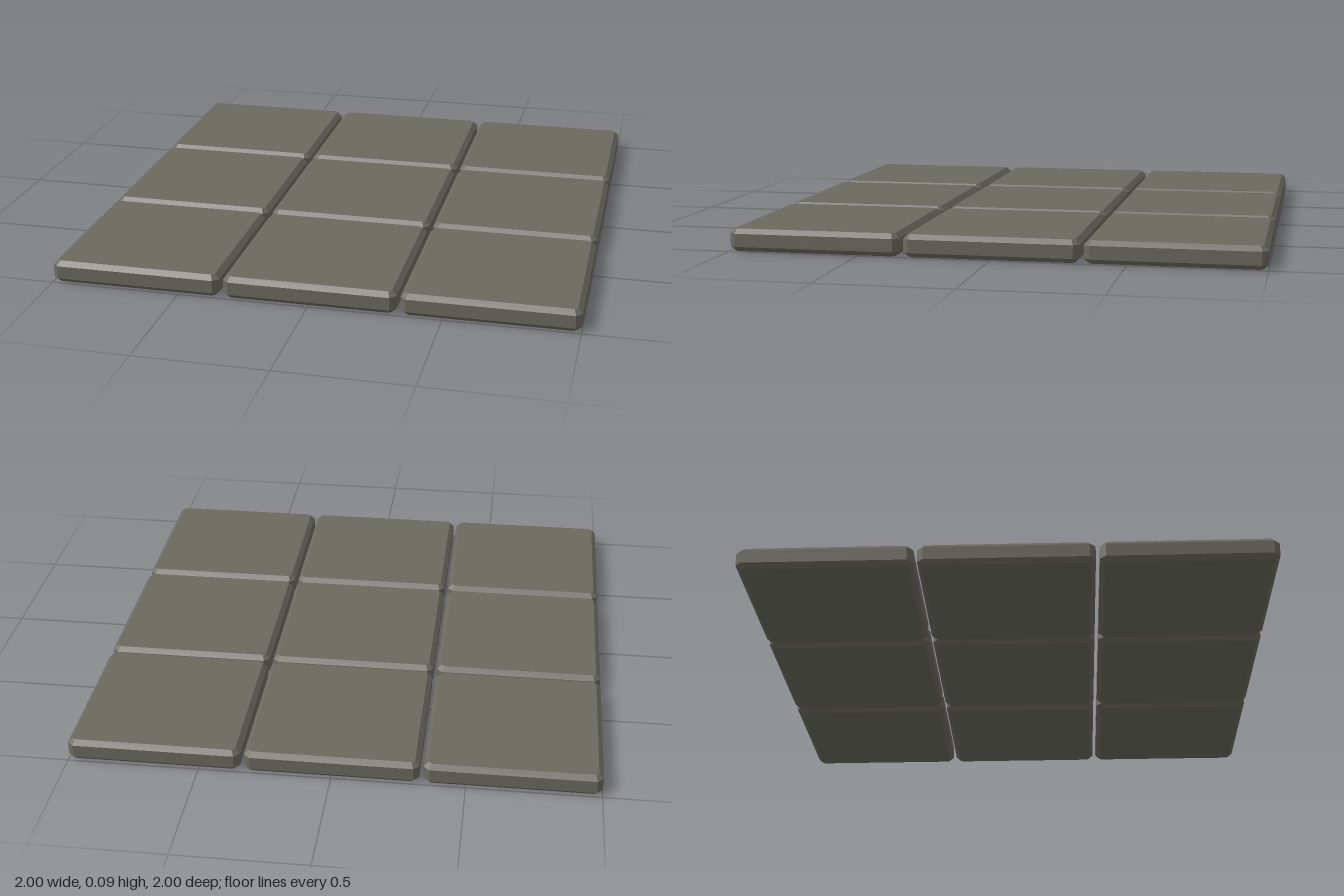
import * as THREE from 'three';

const SIZE = 0.657, PITCH = (2 - SIZE) / 2, HEIGHT = 0.086, BEVEL = 0.018, CORNER = 0.022;

// Square slab with clipped corners and a chamfer around top and bottom
function slabGeometry() {
  const h = SIZE / 2, k = h - CORNER;
  const outline = new THREE.Shape([
    [k, -h], [h, -k], [h, k], [k, h], [-k, h], [-h, k], [-h, -k], [-k, -h],
  ].map(([x, y]) => new THREE.Vector2(x, y)));
  const geometry = new THREE.ExtrudeGeometry(outline, {
    depth: HEIGHT - 2 * BEVEL,
    bevelEnabled: true,
    bevelSegments: 1,
    bevelSize: BEVEL,
    bevelThickness: BEVEL,
    bevelOffset: -BEVEL,
  });
  geometry.rotateX(-Math.PI / 2);
  geometry.translate(0, BEVEL, 0);
  return geometry;
}

export function createModel() {
  const model = new THREE.Group();
  model.name = 'pavingTiles';
  const stone = new THREE.MeshStandardMaterial({ color: 0x6b6a60 });
  stone.name = 'stone grey';
  const geometry = slabGeometry();

  // Three by three grid of slabs with narrow open joints
  for (let row = -1; row <= 1; row++) {
    for (let column = -1; column <= 1; column++) {
      const slab = new THREE.Mesh(geometry, stone);
      slab.name = `slabRow${row + 2}Column${column + 2}`;
      slab.position.set(column * PITCH, 0, row * PITCH);
      model.add(slab);
    }
  }
  return model;
}
